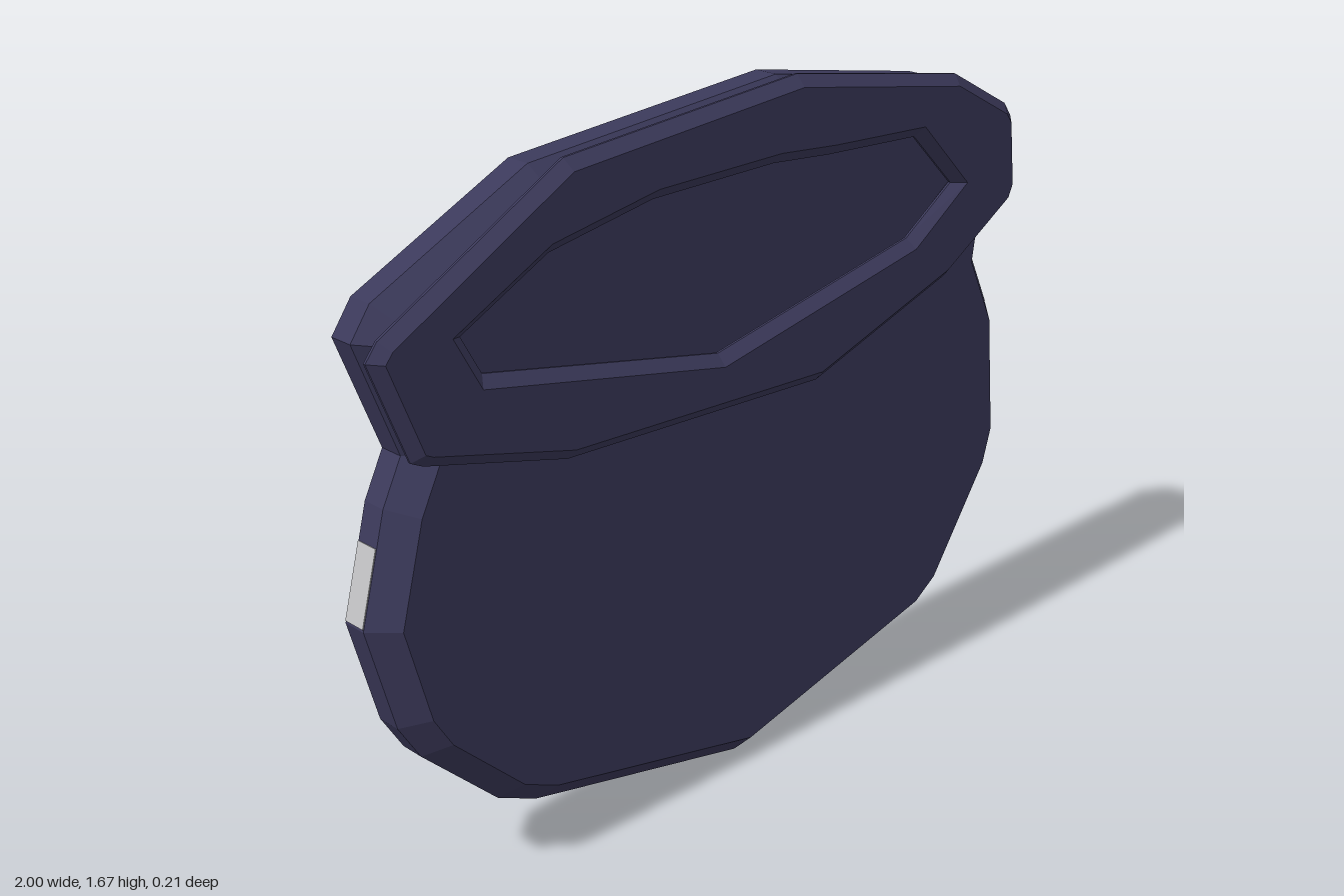
import * as THREE from 'three';

const navy = new THREE.MeshStandardMaterial({ color: 0x3b395a });
navy.name = 'dark navy';
const pale = new THREE.MeshStandardMaterial({ color: 0xc4c4c6 });
pale.name = 'pale grey';

const toVectors = (points) => points.map(([x, y]) => new THREE.Vector2(x, y));

// Slab whose widest outline is the given one, chamfered inward to both faces
function chamferedSlab(name, outline, hole, depth, inset, chamfer, z) {
  const shape = new THREE.Shape(toVectors(outline));
  if (hole) shape.holes.push(new THREE.Path(toVectors(hole)));
  const geometry = new THREE.ExtrudeGeometry(shape, {
    depth, bevelEnabled: true, bevelSegments: 1,
    bevelThickness: chamfer, bevelSize: inset, bevelOffset: -inset,
  });
  const mesh = new THREE.Mesh(geometry, navy);
  mesh.name = name;
  mesh.position.z = z - depth / 2;
  return mesh;
}

// Thin plate lying along one edge of the outline
function edgePlate([x1, y1], [x2, y2]) {
  const length = Math.hypot(x2 - x1, y2 - y1);
  const plate = new THREE.Mesh(new THREE.BoxGeometry(length * 0.94, 0.005, 0.058), pale);
  plate.position.set((x1 + x2) / 2, (y1 + y2) / 2, -0.02);
  plate.rotation.z = Math.atan2(y2 - y1, x2 - x1);
  plate.name = 'edgePlate';
  return plate;
}

export function createModel() {
  const model = new THREE.Group();
  model.name = 'flatCauldron';

  // Pot silhouette, counter-clockwise from the lowest point
  const pot = [
    [0.06, 0], [0.69, 0.155], [0.775, 0.214], [0.965, 0.495], [0.997, 0.604],
    [0.965, 0.93], [0.885, 1.095], [0.9, 1.2], [0.95, 1.29], [0.94, 1.42],
    [0.88, 1.485], [0.7, 1.565], [0.18, 1.655], [-0.53, 1.595], [-0.93, 1.4],
    [-0.98, 1.33], [-0.88, 1.07], [-0.93, 0.97], [-0.997, 0.72], [-0.93, 0.47],
    [-0.875, 0.38], [-0.677, 0.19], [-0.57, 0.14],
  ];
  model.add(chamferedSlab('pot', pot, null, 0.06, 0.055, 0.057, -0.02));

  // Raised rim ring around the mouth
  const rim = [
    [0.25, 0.94], [0.7, 1.085], [0.93, 1.225], [0.95, 1.27], [0.93, 1.44],
    [0.905, 1.475], [0.71, 1.58], [0.17, 1.67], [-0.5, 1.615], [-0.97, 1.353],
    [-1, 1.315], [-0.91, 1.085], [-0.88, 1.07], [-0.51, 0.973],
  ];
  const mouth = [
    [-0.07, 1.09], [0.555, 1.213], [0.71, 1.317], [0.57, 1.455], [0.275, 1.47],
    [0.1, 1.485], [-0.26, 1.48], [-0.545, 1.43], [-0.775, 1.312], [-0.725, 1.222],
  ];
  model.add(chamferedSlab('rim', rim, mouth, 0.006, 0.026, 0.024, 0.08));

  // Pale strips on the outer edge of the pot
  const strips = new THREE.Group();
  strips.name = 'paleEdgeStrips';
  for (const i of [0, 2, 4, 5, 6, 8]) strips.add(edgePlate(pot[i], pot[i + 1]));
  strips.add(edgePlate([-0.997, 0.72], [-0.95, 0.895]));
  model.add(strips);

  return model;
}
